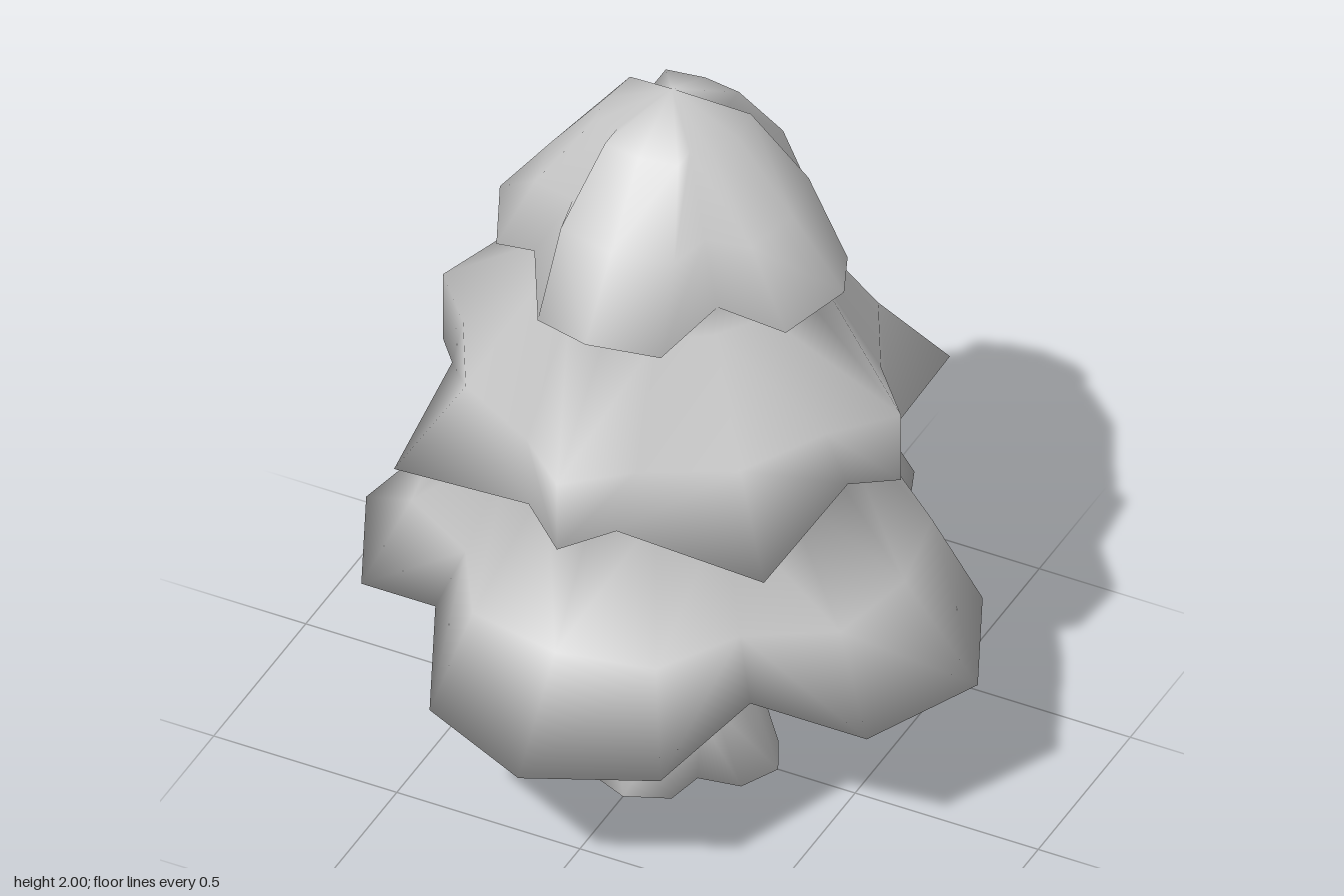
import * as THREE from 'three';
import { mergeVertices } from 'three/addons/utils/BufferGeometryUtils.js';

// One 16-point ring, mirrored from an octant: tip on the axis, shoulder beside it, diagonal corner.
// Entry: [tip, tipY, shoulderX, shoulderZ, shoulderY, corner, cornerY]
function ring([a, ya, bx, bz, yb, c, yc], depth) {
  const points = [];
  for (let q = 0; q < 4; q++) {
    const quarter = [[a, ya, 0], [bx, yb, bz], [c, yc, c], [bz, yb, bx]];
    for (const [x, y, z] of quarter) {
      const cos = [1, 0, -1, 0][q], sin = [0, 1, 0, -1][q];
      points.push(new THREE.Vector3(x * cos - z * sin, y, (x * sin + z * cos) * depth));
    }
  }
  return points;
}

// Level ring, and a ring collapsed to a point on the centre line
const level = (y, a, bx, bz, c) => [a, y, bx, bz, y, c, y];
const centre = (y) => level(y, 0, 0, 0, 0);

// Smooth skin over a stack of rings, listed from top to bottom
function skin(name, rows, depth = 1) {
  const rings = rows.map((row) => ring(row, depth));
  const positions = [];
  const tri = (a, b, c) => {
    const area = b.clone().sub(a).cross(c.clone().sub(a)).length();
    if (area > 1e-7) for (const p of [a, b, c]) positions.push(p.x, p.y, p.z);
  };
  for (let j = 0; j < rings.length - 1; j++) {
    for (let i = 0; i < 16; i++) {
      const k = (i + 1) % 16;
      const a = rings[j][i], b = rings[j][k], c = rings[j + 1][i], d = rings[j + 1][k];
      // Diagonals mirror on either side of each tip
      if (i % 4 < 2) { tri(a, b, c); tri(b, d, c); }
      else { tri(a, b, d); tri(a, d, c); }
    }
  }
  const soup = new THREE.BufferGeometry();
  soup.setAttribute('position', new THREE.Float32BufferAttribute(positions, 3));
  const geometry = mergeVertices(soup);
  geometry.computeVertexNormals();
  const mesh = new THREE.Mesh(
    geometry,
    new THREE.MeshStandardMaterial({ color: 0xcccccc, side: THREE.DoubleSide })
  );
  mesh.name = name;
  return mesh;
}

export function createModel() {
  const tree = new THREE.Group();
  tree.name = 'tree';

  tree.add(skin('foliage', [
    // Rounded crown with four lobes and deep valleys
    centre(2.0),
    level(1.91, 0.18, 0.165, 0.1, 0.1),
    level(1.72, 0.33, 0.295, 0.155, 0.18),
    [0.47, 1.535, 0.395, 0.168, 1.5, 0.25, 1.585],
    // Eight-pointed middle skirt
    level(1.49, 0.36, 0.32, 0.12, 0.24),
    level(1.21, 0.625, 0.495, 0.15, 0.375),
    [0.625, 1.01, 0.54, 0.12, 1.05, 0.505, 1.0],
    // Wide lower skirt with four broad lobes
    level(1.0, 0.42, 0.38, 0.15, 0.29),
    level(0.7, 0.635, 0.585, 0.25, 0.375),
    [0.835, 0.45, 0.69, 0.315, 0.45, 0.43, 0.55],
    // Underside rising to the trunk
    level(0.54, 0.145, 0.135, 0.07, 0.11),
  ]));

  // Trunk with squared foot, flaring into four roots
  tree.add(skin('trunk', [
    level(0.55, 0.155, 0.145, 0.07, 0.115),
    level(0.36, 0.157, 0.148, 0.075, 0.118),
    level(0.2, 0.16, 0.157, 0.09, 0.148),
    level(0, 0.29, 0.24, 0.11, 0.13),
    centre(0.01),
  ], 0.92));

  return tree;
}
